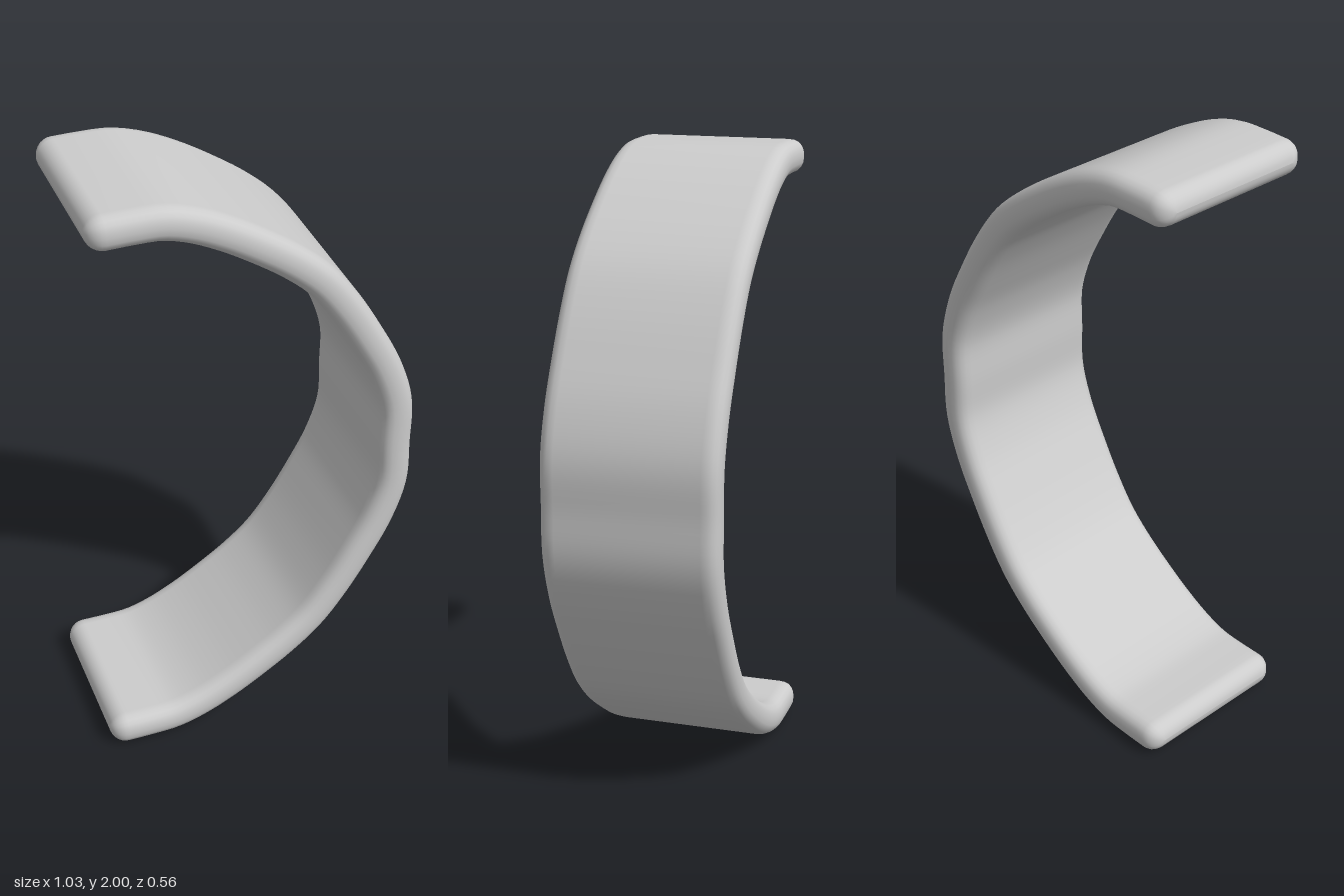
import * as THREE from 'three';

const HALF_WIDTH = 0.281, RADIUS = 0.054, TIP = -0.515;

// Centre line of the upper half, from tip to middle; mirrored for the lower half.
const upper = [
  [TIP + RADIUS, 1.945], [-0.38, 1.946], [-0.29, 1.942], [-0.2, 1.915], [-0.1, 1.866],
  [0, 1.804], [0.1, 1.733], [0.19, 1.652], [0.27, 1.545], [0.345, 1.42],
  [0.412, 1.29], [0.455, 1.15], [0.457, 1],
];

// Flat section with rounded edges; r shrinks towards the tips.
function section(r) {
  const core = HALF_WIDTH - RADIUS, steps = 10, pts = [];
  for (const side of [1, -1]) {
    for (let i = 0; i <= steps; i++) {
      const a = (i / steps) * Math.PI;
      const c = Math.cos(a) * side, s = Math.sin(a) * side;
      const p = 0.85; // slightly squarer than a half circle
      pts.push([Math.sign(c) * Math.abs(c) ** p * r, side * core + Math.sign(s) * Math.abs(s) ** p * r]);
    }
  }
  return pts;
}

function bandGeometry() {
  const lower = upper.slice(0, -1).reverse().map(([x, y]) => [x, 2 - y]);
  const curve = new THREE.CatmullRomCurve3(
    [...upper, ...lower].map(([x, y]) => new THREE.Vector3(x, y, 0)), false, 'centripetal');

  // Stations along the band, with a rounded cap beyond each end.
  const stations = [], N = 96, CAP = 7;
  const start = curve.getPointAt(0), end = curve.getPointAt(1);
  const cap = (p, dir, k) => {
    const a = (k / CAP) * Math.PI / 2;
    return { p: new THREE.Vector3(p.x - RADIUS * Math.sin(a), p.y, 0),
      t: new THREE.Vector3(dir, 0, 0), r: RADIUS * Math.cos(a) };
  };
  for (let k = CAP; k > 0; k--) stations.push(cap(start, 1, k));
  for (let i = 0; i <= N; i++) {
    stations.push({ p: curve.getPointAt(i / N), t: curve.getTangentAt(i / N), r: RADIUS });
  }
  for (let k = 1; k <= CAP; k++) stations.push(cap(end, -1, k));

  const pos = [], index = [], M = section(1).length;
  stations.forEach(({ p, t, r }, i) => {
    for (const [a, z] of section(r)) pos.push(p.x - t.y * a, p.y + t.x * a, z);
    if (i === 0) return;
    for (let j = 0; j < M; j++) {
      const k = (j + 1) % M, b = (i - 1) * M, c = i * M;
      index.push(b + j, b + k, c + k, b + j, c + k, c + j);
    }
  });
  const g = new THREE.BufferGeometry();
  g.setAttribute('position', new THREE.Float32BufferAttribute(pos, 3));
  g.setIndex(index);
  g.computeVertexNormals();
  return g;
}

export function createModel() {
  const group = new THREE.Group();
  group.name = 'openCuff';
  const grey = new THREE.MeshStandardMaterial({ color: 0xcccccc });
  grey.name = 'light grey';
  const band = new THREE.Mesh(bandGeometry(), grey);
  band.name = 'band';
  group.add(band);
  return group;
}
